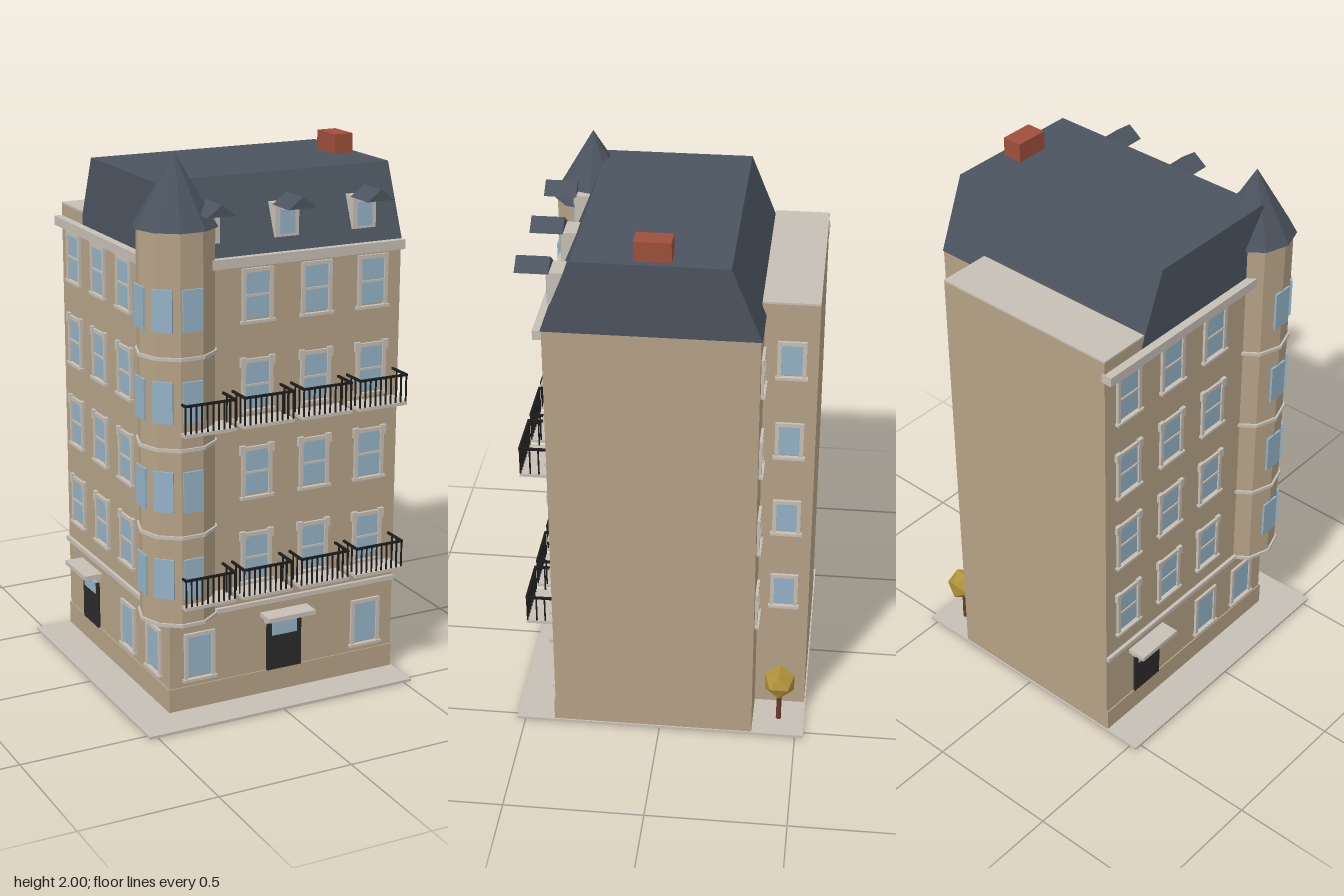
import * as THREE from 'three';

const material = (name, color) => {
  const m = new THREE.MeshStandardMaterial({ color });
  m.name = name;
  return m;
};

export function createModel() {
  const wall = material('sandstone', 0xb5a286);
  const stone = material('paleStone', 0xc6bfb4);
  const slate = material('slate', 0x4b545f);
  const glass = material('glass', 0x94b2c6);
  const iron = material('blackIron', 0x1c1c1c);
  const doorPaint = material('doorPaint', 0x2c2a2a);
  const brick = material('brick', 0x9e4f3a);
  const leaf = material('leaf', 0xb0923a);
  const bark = material('bark', 0x6e3a2a);
  for (const m of [slate, wall, stone, leaf]) m.flatShading = true;

  const model = new THREE.Group();
  model.name = 'cornerBuilding';

  const mesh = (parent, name, geometry, mat) => {
    const m = new THREE.Mesh(geometry, mat);
    m.name = name;
    parent.add(m);
    return m;
  };
  // Box given by its limits on each axis
  const box = (parent, name, mat, x0, x1, y0, y1, z0, z1) => {
    const m = mesh(parent, name, new THREE.BoxGeometry(x1 - x0, y1 - y0, z1 - z0), mat);
    m.position.set((x0 + x1) / 2, (y0 + y1) / 2, (z0 + z1) / 2);
    return m;
  };
  const group = (name, x, y, z, turn = 0) => {
    const g = new THREE.Group();
    g.name = name;
    g.position.set(x, y, z);
    g.rotation.y = turn;
    model.add(g);
    return g;
  };
  const prism = (parent, name, mat, points, depth) => mesh(parent, name,
    new THREE.ExtrudeGeometry(new THREE.Shape(points.map(p => new THREE.Vector2(...p))),
      { depth, bevelEnabled: false }), mat);

  const FRONT = 0.385, LEFT = -0.385, FLOOR = 0.318;
  const WEST = -Math.PI / 2, EAST = Math.PI / 2;
  const columns = [-0.27, -0.045, 0.185, 0.41];

  // Pavement and main masses
  box(model, 'pavement', stone, -0.53, 0.53, 0, 0.01, -0.53, 0.53);
  box(model, 'mainBlock', wall, LEFT, 0.525, 0.01, 1.64, -0.34, FRONT);
  box(model, 'rearWing', wall, LEFT, 0.335, 0.01, 1.685, -0.525, -0.33);
  box(model, 'rearWingRoof', stone, LEFT, 0.335, 1.685, 1.692, -0.525, -0.33);
  box(model, 'frontPlinth', wall, LEFT - 0.005, 0.525, 0.01, 0.097, FRONT, 0.39);
  box(model, 'sidePlinth', wall, LEFT - 0.005, LEFT, 0.01, 0.097, -0.525, FRONT);

  // String course and cornice on the two street sides
  box(model, 'frontStringCourse', stone, LEFT, 0.525, 0.358, 0.375, FRONT, 0.398);
  box(model, 'sideStringCourse', stone, LEFT - 0.013, LEFT, 0.358, 0.375, -0.525, FRONT);
  box(model, 'frontCornice', stone, -0.24, 0.525, 1.608, 1.642, FRONT - 0.01, 0.415);
  box(model, 'sideCornice', stone, -0.415, LEFT + 0.01, 1.608, 1.642, -0.528, 0.24);

  // Mansard roof: a cross-section swept along x
  const roof = prism(model, 'mansardRoof', slate,
    [[-0.39, 1.64], [0.345, 1.64], [0.24, 1.9], [-0.285, 1.9]], 0.91);
  roof.rotation.y = Math.PI / 2;
  roof.position.x = LEFT;
  box(model, 'chimney', brick, 0.425, 0.5, 1.88, 1.97, -0.045, 0.08);

  // Framed window, origin at the bottom centre of its frame on the wall
  function addWindow(x, y, z, turn, { w = 0.12, h = 0.19, ears = false, bar = true } = {}) {
    const g = group('window', x, y, z, turn);
    const r = w / 2, t = 0.014;
    box(g, 'pane', glass, -r + t, r - t, t, h - t, 0, 0.004);
    for (const s of [-1, 1]) {
      const jamb = box(g, 'jamb', stone, -t / 2, t / 2, 0, h, 0, 0.01);
      jamb.position.x = s * (r - t / 2);
      if (ears) {
        const ear = box(g, 'ear', stone, -0.011, 0.011, h - 0.028, h + 0.006, 0, 0.013);
        ear.position.x = s * (r - 0.004);
      }
    }
    box(g, 'lintel', stone, -r, r, h - t, h, 0, 0.01);
    box(g, 'sill', stone, -r - 0.006, r + 0.006, -0.002, 0.008, 0, 0.016);
    if (bar) box(g, 'glazingBar', stone, -r + t, r - t, h / 2 - 0.004, h / 2 + 0.004, 0, 0.008);
  }

  // Door with a transom light and a canopy
  function addDoor(x, z, turn) {
    const g = group('entrance', x, 0, z, turn);
    box(g, 'door', doorPaint, -0.07, 0.07, 0.095, 0.28, 0, 0.008);
    box(g, 'transomLight', glass, -0.05, 0.05, 0.23, 0.28, 0.008, 0.012);
    box(g, 'doorHead', stone, -0.08, 0.08, 0.285, 0.308, 0, 0.02);
    box(g, 'canopy', stone, -0.095, 0.095, 0.308, 0.325, 0, 0.07);
  }

  // Street facades
  for (let i = 0; i < 4; i++) {
    const y = 0.452 + i * FLOOR;
    const style = { ears: i < 3 };
    for (const x of columns.slice(1)) addWindow(x, y, FRONT, 0, style);
    for (const z of [-0.41, -0.185, 0.04]) addWindow(LEFT, y, z, WEST, style);
    // Small windows in the rear corner
    const small = { w: 0.1, h: 0.142, bar: false };
    addWindow(0.335, y, -0.435, EAST, small);
    addWindow(0.43, y, -0.34, Math.PI, small);
  }
  const ground = { h: 0.18, bar: false };
  for (const x of [-0.27, 0.41]) addWindow(x, 0.12, FRONT, 0, ground);
  for (const z of [0.04, 0.26]) addWindow(LEFT, 0.12, z, WEST, ground);
  addDoor(0.07, FRONT, 0);
  addDoor(LEFT, -0.305, WEST);

  // Balconies with iron railings
  for (const y of [0.43, 0.43 + 2 * FLOOR - 0.008]) {
    for (const x of columns) {
      const g = group('balcony', x, y, FRONT);
      box(g, 'slab', stone, -0.098, 0.098, 0, 0.012, 0, 0.098);
      box(g, 'frontRail', iron, -0.098, 0.098, 0.107, 0.115, 0.09, 0.098);
      for (const s of [-1, 1]) {
        const rail = box(g, 'sideRail', iron, -0.004, 0.004, 0.107, 0.115, 0, 0.098);
        rail.position.x = s * 0.094;
        for (const z of [0.03, 0.06]) {
          box(g, 'sideBaluster', iron, s * 0.094 - 0.0025, s * 0.094 + 0.0025, 0.01, 0.108, z - 0.0025, z + 0.0025);
        }
      }
      for (let i = 0; i <= 9; i++) {
        const bx = -0.094 + i * 0.0209;
        box(g, 'baluster', iron, bx - 0.0025, bx + 0.0025, 0.01, 0.108, 0.0915, 0.0965);
      }
    }
  }

  // Ten-sided corner turret, with a flat face to the front
  const turret = group('turret', -0.325, 0, 0.325);
  const drum = (name, mat, top, bottom, y0, y1) => {
    const m = mesh(turret, name, new THREE.CylinderGeometry(top, bottom, y1 - y0, 10), mat);
    m.position.y = (y0 + y1) / 2;
    m.rotation.y = Math.PI / 10;
  };
  drum('turretWall', wall, 0.135, 0.135, 0.362, 1.76);
  drum('turretRoof', slate, 0, 0.147, 1.755, 2);
  for (const y of [0.36, 0.685, 1.0, 1.32]) drum('turretBand', stone, 0.143, 0.143, y, y + 0.012);
  for (let i = 0; i < 4; i++) {
    for (const turn of [0, WEST / 2, WEST]) {
      const holder = new THREE.Group();
      holder.name = 'turretWindow';
      holder.rotation.y = turn;
      turret.add(holder);
      const y = 0.465 + i * FLOOR;
      box(holder, 'turretPane', glass, -0.037, 0.037, y, y + 0.146, 0.13, 0.138);
    }
  }

  // Dormers on the front slope
  for (const x of [-0.23, 0.073, 0.378]) {
    const g = group('dormer', x, 0, 0);
    box(g, 'dormerBody', stone, -0.046, 0.046, 1.69, 1.805, 0.3, 0.378);
    box(g, 'dormerPane', glass, -0.029, 0.029, 1.7, 1.785, 0.378, 0.383);
    const cap = prism(g, 'dormerRoof', slate, [[-0.054, 1.803], [0.054, 1.803], [0, 1.843]], 0.115);
    cap.position.z = 0.37;
  }

  // Tree in the rear corner
  const tree = group('tree', 0.435, 0, -0.435);
  const trunk = mesh(tree, 'trunk', new THREE.CylinderGeometry(0.008, 0.01, 0.14, 6), bark);
  trunk.position.y = 0.075;
  const crown = mesh(tree, 'crown', new THREE.IcosahedronGeometry(0.063, 0), leaf);
  crown.position.y = 0.18;

  return model;
}
